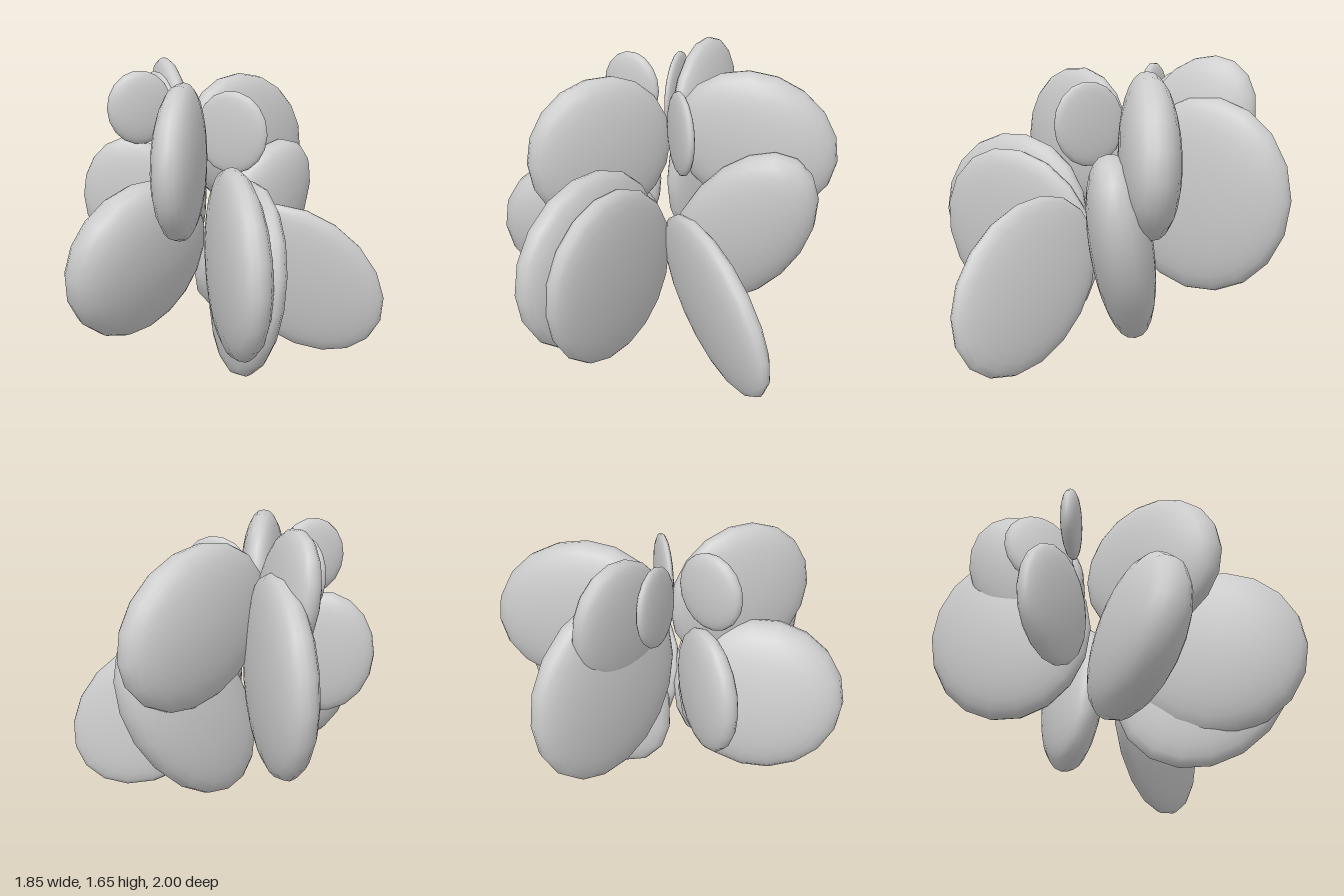
import * as THREE from 'three';
import { mergeVertices } from 'three/addons/utils/BufferGeometryUtils.js';

// Each lobe is a flattened, blunt-edged ellipsoid standing on edge around a common centre.
// at: centre, size: half length / half height / half thickness,
// turn: degrees [yaw, with local x pointing outward; sideways lean; tilt in its own plane]
const LOBES = [
  { name: 'backLargeLobe', at: [0.19, 0.92, -0.555], size: [0.475, 0.525, 0.125], turn: [68, 0, 0] },
  { name: 'backUpperLobe', at: [0.11, 1.285, -0.51], size: [0.395, 0.3, 0.09], turn: [72, -6, 60] },
  { name: 'backSmallLobe', at: [-0.04, 1.37, -0.435], size: [0.235, 0.19, 0.04], turn: [88, 0, 58] },
  { name: 'backRightLowerLobe', at: [-0.28, 0.9, -0.37], size: [0.285, 0.345, 0.085], turn: [136, 0, 0] },
  { name: 'backRightUpperLobe', at: [-0.265, 1.42, -0.28], size: [0.185, 0.205, 0.055], turn: [162, 0, 0] },
  { name: 'rightLargeLobe', at: [-0.47, 0.66, 0.025], size: [0.465, 0.445, 0.175], turn: [191, -11, 0] },
  { name: 'frontRightUpperLobe', at: [-0.29, 1.19, 0.17], size: [0.42, 0.41, 0.125], turn: [226, 0, 0] },
  { name: 'frontOuterLobe', at: [-0.225, 0.73, 0.54], size: [0.495, 0.485, 0.125], turn: [246, 0, 0] },
  { name: 'frontInnerLobe', at: [-0.13, 0.61, 0.49], size: [0.55, 0.47, 0.105], turn: [250, -5, 57] },
  { name: 'frontLeftLobe', at: [0.39, 0.46, 0.362], size: [0.535, 0.385, 0.09], turn: [-45, 8, -42] },
  { name: 'frontSmallLobe', at: [0.115, 1.29, 0.06], size: [0.21, 0.23, 0.04], turn: [-58, 0, 0] },
  { name: 'leftUpperLobe', at: [0.47, 1.16, -0.265], size: [0.475, 0.395, 0.15], turn: [7, 0, -27] },
  { name: 'leftLowerLobe', at: [0.435, 0.667, -0.135], size: [0.565, 0.355, 0.16], turn: [6, 9, 59] },
];

// Flattened ball: fuller towards its rim and a little thicker at its outer end
function lobeGeometry([length, height, thickness], tilt) {
  const ball = new THREE.SphereGeometry(1, 18, 16).rotateX(Math.PI / 2);
  ball.scale(length, height, 1).rotateZ(tilt);
  ball.deleteAttribute('uv');
  ball.deleteAttribute('normal');
  const geometry = mergeVertices(ball, 1e-4);
  const p = geometry.attributes.position;
  const reach = Math.hypot(length * Math.cos(tilt), height * Math.sin(tilt));
  for (let i = 0; i < p.count; i++) {
    const z = p.getZ(i);
    const swell = 1 + 0.15 * (p.getX(i) / reach);
    p.setZ(i, Math.sign(z) * Math.abs(z) ** 0.85 * thickness * swell);
  }
  geometry.computeVertexNormals();
  return geometry;
}

export function createModel() {
  const group = new THREE.Group();
  group.name = 'lobeCluster';
  const material = new THREE.MeshStandardMaterial({ color: 0xcccccc });

  for (const { name, at, size, turn } of LOBES) {
    const [yaw, lean, tilt] = turn.map(THREE.MathUtils.degToRad);
    const lobe = new THREE.Mesh(lobeGeometry(size, tilt), material);
    lobe.name = name;
    lobe.position.set(...at);
    lobe.rotation.set(lean, yaw, 0, 'YXZ');
    group.add(lobe);
  }
  return group;
}
